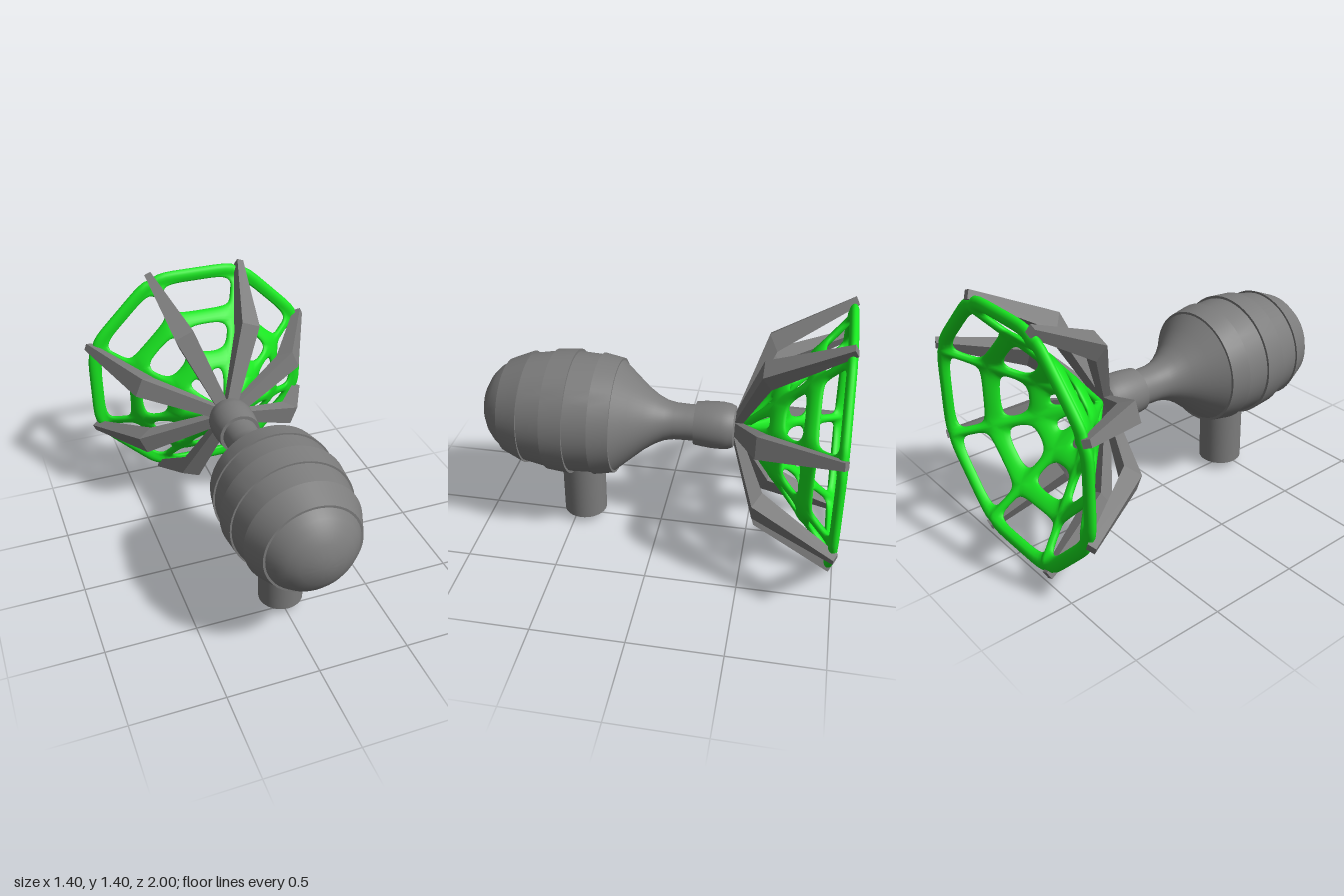
import * as THREE from 'three';
import { mergeVertices, toCreasedNormals } from 'three/addons/utils/BufferGeometryUtils.js';

const AXIS_Y = 0.7;
const SECTOR = Math.PI / 4;
const grey = new THREE.MeshStandardMaterial({ color: 0x7c7c7c });
const green = new THREE.MeshStandardMaterial({ color: 0x18e820 });

function add(parent, name, geometry, material = grey) {
  const mesh = new THREE.Mesh(geometry, material);
  mesh.name = name;
  parent.add(mesh);
  return mesh;
}

// Solid of revolution around z, from [radius, z] pairs listed back to front
function turned(profile) {
  const geo = new THREE.LatheGeometry(profile.map(([r, z]) => new THREE.Vector2(r, z)), 48);
  return toCreasedNormals(geo.rotateX(Math.PI / 2), 0.45);
}

// Bent arm: rectangular sections through base, elbow and tip
function armGeometry() {
  // half width, outer radius, outer z, inner radius, inner z
  const sections = [
    [0.035, 0.085, -0.41, 0.03, -0.43],
    [0.057, 0.52, -0.555, 0.43, -0.6],
    [0.02, 0.747, -0.98, 0.705, -1.0],
  ];
  const pos = [], idx = [];
  for (const [w, ro, zo, ri, zi] of sections)
    pos.push(-w, ro, zo, w, ro, zo, w, ri, zi, -w, ri, zi);
  for (let s = 0; s < 2; s++)
    for (let j = 0; j < 4; j++) {
      const a = s * 4 + j, b = s * 4 + (j + 1) % 4;
      idx.push(a, b, b + 4, a, b + 4, a + 4);
    }
  idx.push(0, 2, 1, 0, 3, 2, 8, 9, 10, 8, 10, 11);
  const geo = new THREE.BufferGeometry();
  geo.setAttribute('position', new THREE.Float32BufferAttribute(pos, 3));
  geo.setIndex(idx);
  const flat = geo.toNonIndexed();
  flat.computeVertexNormals();
  return flat;
}

// Eight-sided net: every opening is framed by half-round strands that meet
// the neighbouring frames along the middle of each rib and ring
function netGeometry() {
  const SIDE = 12, STEPS = 8, HALF_DEPTH = 0.025, SLOPE = Math.tan(SECTOR / 2);
  const pos = [], idx = [];

  // Half-round strip from the strand middle to its edge, as [distance, offset] pairs
  function strip(pairs, sector) {
    const start = pos.length / 3;
    const cos = Math.cos(sector * SECTOR), sin = Math.sin(sector * SECTOR);
    for (const [mid, edge] of pairs)
      for (let j = 0; j <= STEPS; j++) {
        const t = Math.PI * j / STEPS;
        const a = THREE.MathUtils.lerp(mid[0], edge[0], Math.sin(t));
        const y = THREE.MathUtils.lerp(mid[1], edge[1], Math.sin(t));
        // soften the octagon's corners
        const k = a > 0 ? 1 - 0.05 * Math.min(1, Math.abs(y) / (a * SLOPE)) ** 6 : 1;
        const z = -0.43 - 0.87 * Math.min(a, 0.625) + HALF_DEPTH * Math.cos(t);
        pos.push(k * (a * cos - y * sin), k * (a * sin + y * cos), z);
      }
    const row = STEPS + 1;
    for (let i = 0; i < pairs.length - 1; i++)
      for (let j = 0; j < STEPS; j++) {
        const p = start + i * row + j, q = p + row;
        idx.push(p, q, q + 1, p, q + 1, p + 1);
      }
  }

  // Points around a square from -1 to 1, anticlockwise and closed
  const square = [];
  for (let i = 0; i <= SIDE * 4; i++) {
    const side = Math.floor(i / SIDE) % 4, s = -1 + 2 * (i % SIDE) / SIDE;
    square.push([[s, -1], [1, s], [-s, 1], [-1, -s]][side]);
  }
  const between = (from, to, u) => from + (to - from) * (u + 1) / 2;

  // cell from and to; opening from, half width, to, half width; squareness
  const cells = [
    [0, 0.243, 0.07, 0.008, 0.205, 0.04, 2.6],
    [0.243, 0.443, 0.285, 0.085, 0.412, 0.14, 2.8],
    [0.443, 0.647, 0.475, 0.168, 0.612, 0.228, 4.5],
  ];
  for (let k = 0; k < 8; k++) {
    for (const [c0, c1, a0, w0, a1, w1, power] of cells)
      strip(square.map(([u, v]) => {
        const a = between(c0, c1, u);
        const norm = (Math.abs(u) ** power + Math.abs(v) ** power) ** (1 / power);
        const hu = u / norm, hv = v / norm;
        return [[a, v * a * SLOPE], [between(a0, a1, hu), hv * between(w0, w1, hu)]];
      }), k);
    // outer half of the rim
    const rim = [];
    for (let i = 0; i <= SIDE; i++) {
      const v = 1 - 2 * i / SIDE;
      rim.push([0.647, 0.685].map((a) => [a, v * a * SLOPE]));
    }
    strip(rim, k);
  }
  const geo = new THREE.BufferGeometry();
  geo.setAttribute('position', new THREE.Float32BufferAttribute(pos, 3));
  geo.setIndex(idx);
  const smooth = mergeVertices(geo, 1e-4);
  smooth.computeVertexNormals();
  return smooth;
}

export function createModel() {
  const model = new THREE.Group();
  model.name = 'model';
  const head = new THREE.Group();
  head.name = 'head';
  head.position.y = AXIS_Y;
  model.add(head);

  // Bulbous body with stepped bands and a tapering neck
  add(head, 'body', turned([
    [0, -0.24], [0.1, -0.24], [0.1, -0.15], [0.102, -0.08], [0.112, -0.03], [0.135, 0.02],
    [0.175, 0.08], [0.24, 0.155], [0.305, 0.23],
    [0.318, 0.23], [0.338, 0.34], [0.328, 0.34], [0.334, 0.475],
    [0.348, 0.475], [0.337, 0.6], [0.327, 0.6], [0.303, 0.735],
    [0.315, 0.735], [0.262, 0.86],
    [0.25, 0.86], [0.22, 0.905], [0.175, 0.945], [0.12, 0.975], [0.06, 0.993], [0, 1],
  ]));

  // Rounded collar that holds the arms
  add(head, 'collar', turned([
    [0, -0.415], [0.095, -0.415], [0.113, -0.405], [0.124, -0.38], [0.129, -0.34],
    [0.129, -0.29], [0.125, -0.24], [0.119, -0.192], [0.09, -0.192],
  ]));

  // Handle below the body
  const handle = add(model, 'handle', new THREE.CylinderGeometry(0.122, 0.122, 0.45, 40));
  handle.position.set(0, 0.272, 0.45);

  // Ring of eight arms around the net
  const arms = new THREE.Group();
  arms.name = 'arms';
  head.add(arms);
  const arm = armGeometry();
  for (let k = 0; k < 8; k++)
    add(arms, 'arm', arm).rotation.z = (k + 0.5) * SECTOR;

  add(head, 'net', netGeometry(), green);
  return model;
}
